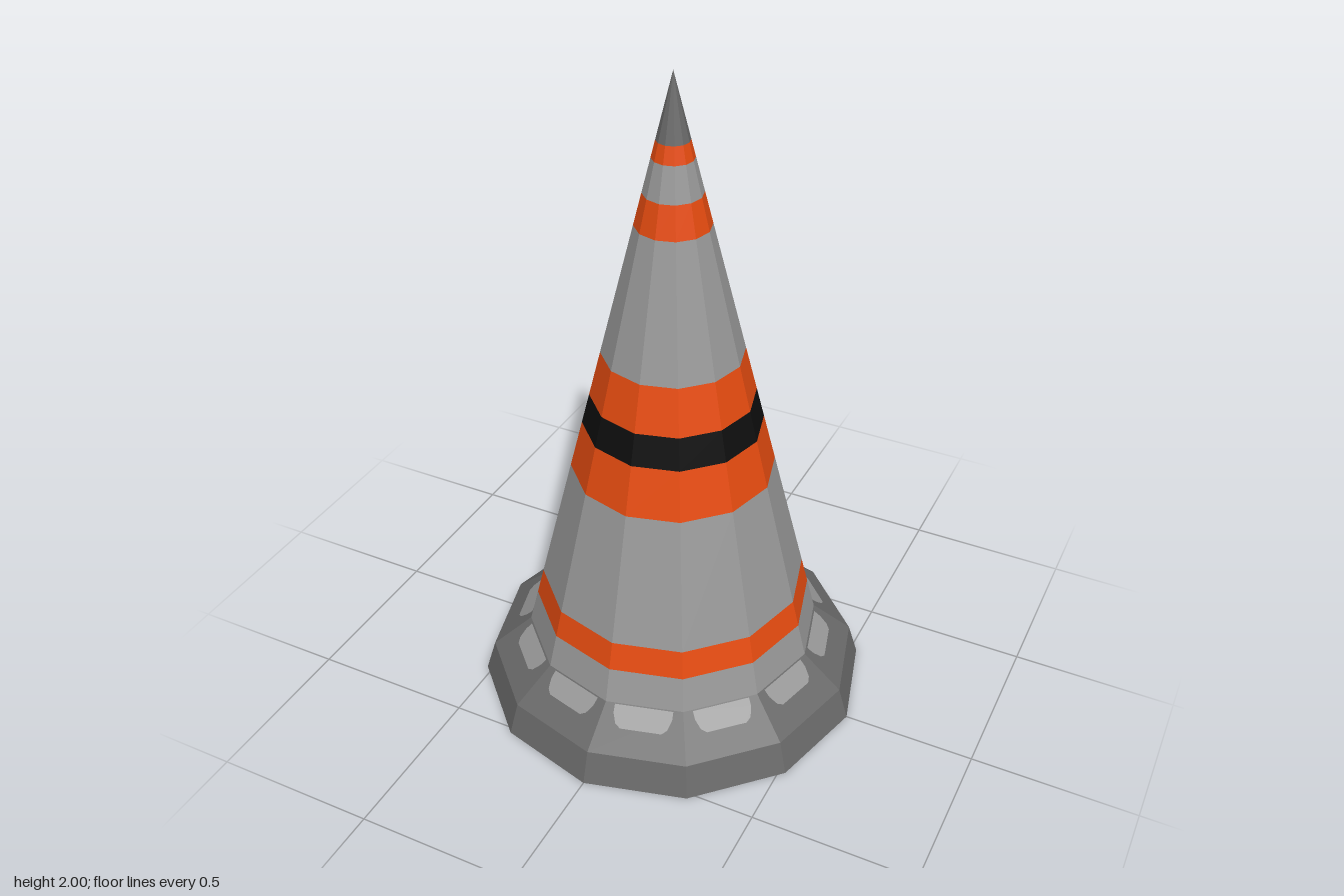
import * as THREE from 'three';

const SIDES = 12;
const mat = (name, color) => {
  const m = new THREE.MeshStandardMaterial({ color });
  m.name = name;
  return m;
};

export function createModel() {
  const orange = mat('orange', 0xe54b10);
  const grey = mat('light grey', 0x989898);
  const dark = mat('dark grey', 0x696969);
  const black = mat('black', 0x0e0e0e);

  const model = new THREE.Group();
  model.name = 'trafficCone';

  const add = (parent, name, geometry, material) => {
    const mesh = new THREE.Mesh(geometry, material);
    mesh.name = name;
    parent.add(mesh);
    return mesh;
  };

  // Faceted open ring between two heights
  const ring = (name, y0, r0, y1, r1, material) => {
    const g = new THREE.CylinderGeometry(r1, r0, y1 - y0, SIDES, 1, true).toNonIndexed();
    g.computeVertexNormals();
    g.translate(0, (y0 + y1) / 2, 0);
    return add(model, name, g, material);
  };

  // Base: steep rim and sloping shoulder
  ring('baseRim', 0, 0.6, 0.1, 0.57, dark);
  ring('baseShoulder', 0.1, 0.57, 0.2, 0.45, dark);

  // Cone body, split into coloured bands
  const coneRadius = (y) => (0.45 * (2 - y)) / 1.8;
  const bands = [
    [0.2, grey, 'coneFoot'], [0.305, orange, 'lowerStripe'],
    [0.39, grey, 'lowerCone'], [0.785, orange, 'middleStripeBottom'],
    [0.935, black, 'blackStripe'], [1.03, orange, 'middleStripeTop'],
    [1.17, grey, 'upperCone'], [1.565, orange, 'upperStripe'],
    [1.66, grey, 'coneNeck'], [1.76, orange, 'topStripe'],
    [1.81, dark, 'coneTip'],
  ];
  bands.forEach(([y, material, name], i) => {
    const top = i + 1 < bands.length ? bands[i + 1][0] : 2;
    ring(name, y, coneRadius(y), top, coneRadius(top), material);
  });

  // Light pads, one on each shoulder face
  const pad = new THREE.Shape();
  pad.moveTo(-0.088, -0.004);
  pad.lineTo(-0.088, -0.03);
  pad.lineTo(-0.078, -0.06);
  pad.lineTo(-0.062, -0.073);
  pad.lineTo(0.062, -0.073);
  pad.lineTo(0.078, -0.06);
  pad.lineTo(0.088, -0.03);
  pad.lineTo(0.088, -0.004);
  const apothem = Math.cos(Math.PI / SIDES);
  const padGeometry = new THREE.ShapeGeometry(pad);
  padGeometry.translate(0, 0, 0.003);
  padGeometry.rotateX(-Math.atan2(0.12 * apothem, 0.1));
  padGeometry.translate(0, 0.2, 0.45 * apothem);
  for (let i = 0; i < SIDES; i++) {
    add(model, 'shoulderPad', padGeometry, grey).rotation.y = ((i + 0.5) * Math.PI * 2) / SIDES;
  }

  // Underside with a ring of dashes and a diagonal cross
  const underside = new THREE.Group();
  underside.name = 'underside';
  underside.rotation.x = Math.PI / 2;
  model.add(underside);
  add(underside, 'undersidePlate', new THREE.CircleGeometry(0.599, SIDES), dark).position.z = -0.005;
  for (let i = 0; i < SIDES; i++) {
    const start = ((i + 0.5) * Math.PI * 2) / SIDES - 0.19;
    add(underside, 'undersideDash', new THREE.RingGeometry(0.445, 0.495, 4, 1, start, 0.38), grey);
  }
  const c = 0.075, e = 0.45;
  const cross = new THREE.Shape([
    [c, c], [c, e], [-c, e], [-c, c], [-e, c], [-e, -c],
    [-c, -c], [-c, -e], [c, -e], [c, -c], [e, -c], [e, c],
  ].map(([x, y]) => new THREE.Vector2(x, y)));
  add(underside, 'undersideCross', new THREE.ShapeGeometry(cross), grey).rotation.z = Math.PI / 4;

  return model;
}
